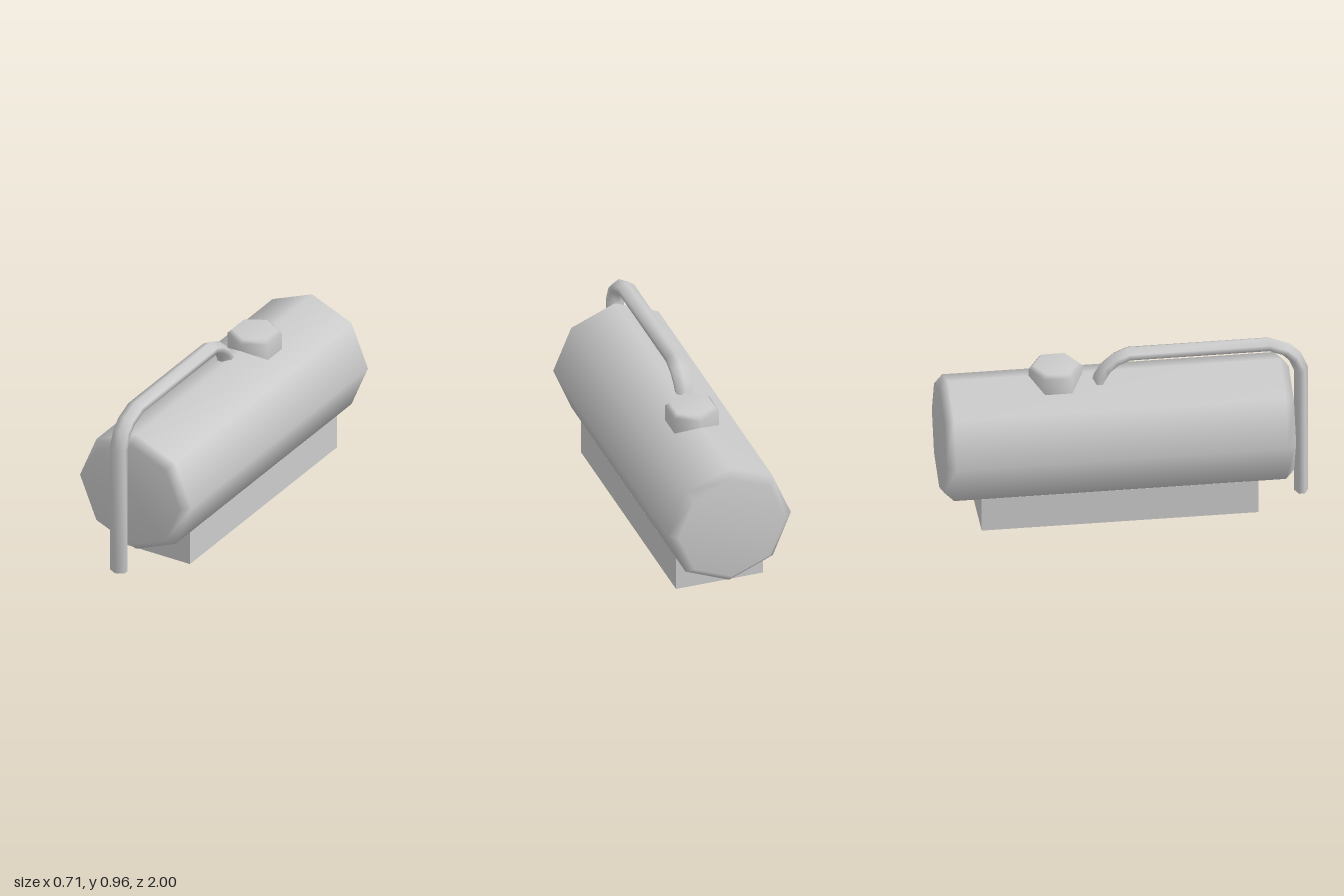
import * as THREE from 'three';

const V2 = (x, y) => new THREE.Vector2(x, y);

function makeMaterial(doubleSided) {
  return new THREE.MeshStandardMaterial({
    color: 0xcccccc,
    side: doubleSided ? THREE.DoubleSide : THREE.FrontSide,
  });
}

// Sweeps a six-sided section along a path of [z, y] points, mitred at the bends
function sweepPipe(path, x, section) {
  const points = path.map(([z, y]) => V2(z, y));
  const last = points.length - 1;
  const n = section.length;
  const positions = [];
  const indices = [];
  points.forEach((p, i) => {
    const before = points[Math.max(i - 1, 0)];
    const after = points[Math.min(i + 1, last)];
    const dirIn = (i > 0 ? p.clone().sub(before) : after.clone().sub(p)).normalize();
    const dirOut = (i < last ? after.clone().sub(p) : dirIn.clone()).normalize();
    const tangent = dirIn.clone().add(dirOut).normalize();
    const stretch = 1 / tangent.dot(dirIn);
    // outward normal in the bend plane
    const nz = tangent.y * stretch, ny = -tangent.x * stretch;
    for (const [sx, so] of section) {
      positions.push(x + sx, p.y + ny * so, p.x + nz * so);
    }
  });
  for (let i = 0; i < last; i++) {
    for (let j = 0; j < n; j++) {
      const a = i * n + j, b = i * n + (j + 1) % n;
      indices.push(a, b, a + n, b, b + n, a + n);
    }
  }
  const geometry = new THREE.BufferGeometry();
  geometry.setAttribute('position', new THREE.Float32BufferAttribute(positions, 3));
  geometry.setIndex(indices);
  geometry.computeVertexNormals();
  return geometry;
}

export function createModel() {
  const model = new THREE.Group();
  model.name = 'storageTank';

  const add = (name, geometry, doubleSided = false) => {
    const mesh = new THREE.Mesh(geometry, makeMaterial(doubleSided));
    mesh.name = name;
    model.add(mesh);
    return mesh;
  };

  // Lying eight-sided tank with bevelled ends
  const r = 0.354, bevel = 0.048;
  const tank = new THREE.LatheGeometry([
    V2(0, -1), V2(r - bevel, -1), V2(r, -1 + bevel),
    V2(r, 0.9 - bevel), V2(r - bevel, 0.9), V2(0, 0.9),
  ], 8);
  tank.rotateX(Math.PI / 2);
  add('tank', tank).position.y = 0.447;

  // Six-sided filler cap on top
  const cap = new THREE.LatheGeometry([
    V2(0.147, 0.74), V2(0.147, 0.843), V2(0.123, 0.865), V2(0, 0.865),
  ], 6);
  add('fillerCap', cap).position.z = -0.367;

  // Hollow base, four thin walls open at the bottom
  const base = new THREE.Group();
  base.name = 'base';
  const height = 0.196, halfWidth = 0.25, halfLength = 0.752;
  for (let i = 0; i < 4; i++) {
    const side = i % 2 === 1;
    const wall = new THREE.Mesh(
      new THREE.PlaneGeometry(2 * (side ? halfLength : halfWidth), height),
      makeMaterial(true));
    wall.name = side ? 'baseSideWall' : 'baseEndWall';
    const angle = i * Math.PI / 2;
    wall.rotation.y = angle;
    wall.position.set(Math.sin(angle) * halfWidth, height / 2, Math.cos(angle) * halfLength);
    base.add(wall);
  }
  base.position.z = -0.05;
  model.add(base);

  // Pipe rising from the ground and bending over into the tank
  const section = [
    [0, 0.0385], [0.046, 0.016], [0.046, -0.016],
    [0, -0.0385], [-0.046, -0.016], [-0.046, 0.016],
  ];
  const path = [
    [0.9615, 0], [0.9615, 0.757], [0.928, 0.837], [0.882, 0.883], [0.786, 0.922],
    [0.024, 0.922], [-0.043, 0.893], [-0.099, 0.846], [-0.128, 0.8], [-0.142, 0.75],
  ];
  add('pipe', sweepPipe(path, -0.041, section), true);

  return model;
}
